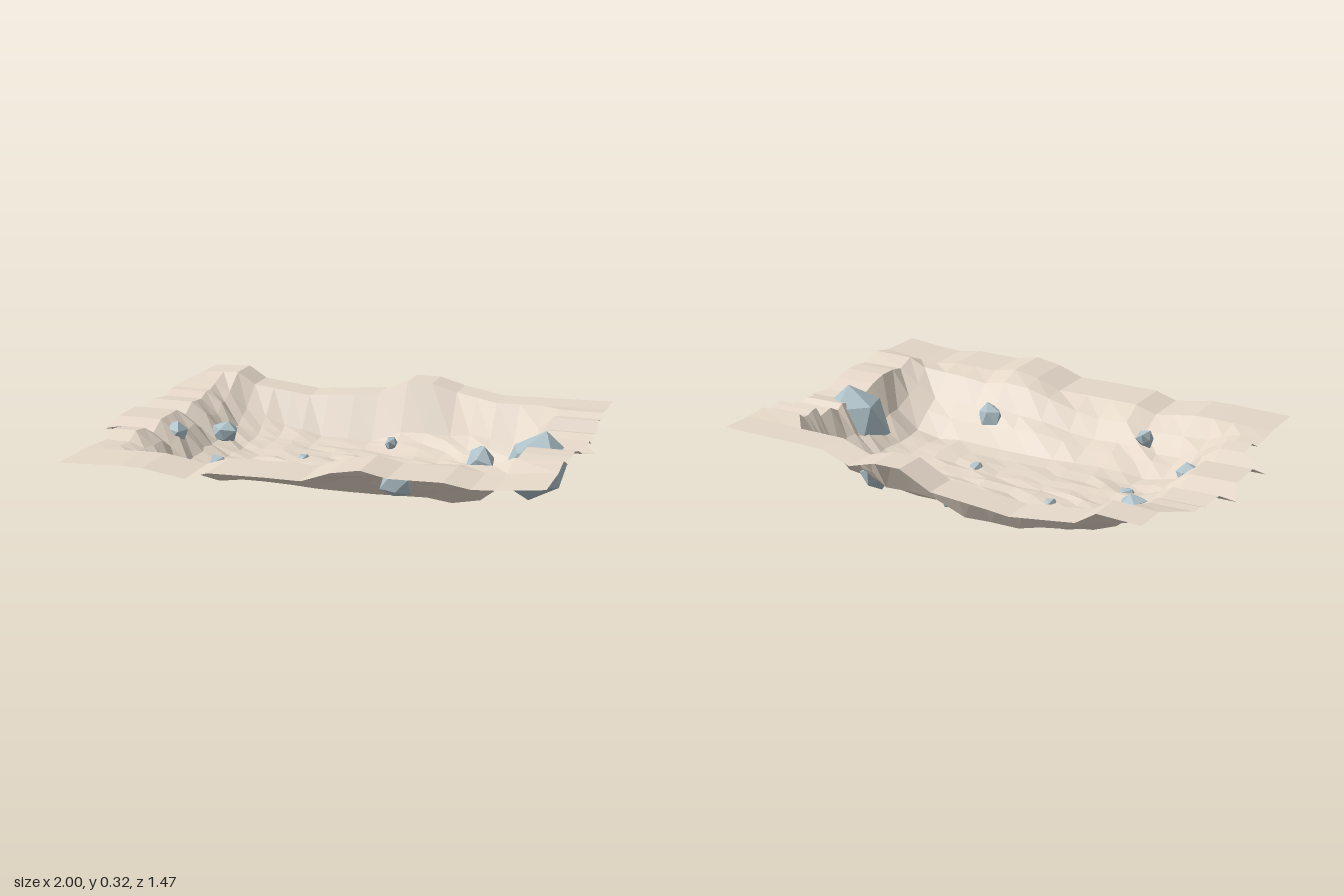
import * as THREE from 'three';

// piecewise-linear lookup through [position, value] pairs in rising order
function sample(pairs, p) {
  if (p <= pairs[0][0]) return pairs[0][1];
  for (let i = 1; i < pairs.length; i++) {
    const [p0, v0] = pairs[i - 1], [p1, v1] = pairs[i];
    if (p <= p1) return v0 + (v1 - v0) * (p - p0) / (p1 - p0);
  }
  return pairs[pairs.length - 1][1];
}

// repeatable value in -1..1
function hash(a, b, c = 0) {
  const s = Math.sin(a * 127.1 + b * 311.7 + c * 74.7) * 43758.5453;
  return (s - Math.floor(s)) * 2 - 1;
}

// grid lines of the ground sheet
const COLS = [-0.9, -0.78, -0.71, -0.63, -0.54, -0.45, -0.37, -0.28, -0.16, -0.05,
  0.08, 0.19, 0.3, 0.4, 0.5, 0.6, 0.7, 0.78, 0.96];
const ROWS = [0.73, 0.52, 0.43, 0.35, 0.29, 0.21, 0.13, 0.06, 0, -0.05, -0.1,
  -0.13, -0.18, -0.25, -0.3, -0.35, -0.4, -0.45, -0.5, -0.6, -0.74];

// outline of the left and right edges, x along z
const LEFT_EDGE = [[-0.6, -0.88], [-0.46, -0.95], [-0.27, -0.95], [-0.18, -1], [-0.1, -0.97],
  [0.06, -0.97], [0.13, -1], [0.21, -0.88]];
const RIGHT_EDGE = [[-0.05, 0.96], [0, 1], [0.06, 0.96]];

// rim heights: along z for the sides, along x for the front and back lips
const LEFT_RIM = [[-0.6, 0.29], [-0.5, 0.265], [-0.45, 0.25], [-0.4, 0.25], [-0.35, 0.23], [-0.25, 0.24],
  [-0.18, 0.2], [-0.1, 0.24], [0.06, 0.24], [0.13, 0.2], [0.21, 0.24], [0.29, 0.25], [0.35, 0.22], [0.52, 0.23]];
const RIGHT_RIM = [[-0.6, 0.29], [-0.5, 0.3], [-0.45, 0.28], [-0.4, 0.28], [-0.35, 0.29], [-0.3, 0.295],
  [-0.25, 0.25], [-0.18, 0.265], [-0.13, 0.24], [-0.1, 0.26], [0, 0.24], [0.06, 0.25], [0.13, 0.28],
  [0.21, 0.3], [0.29, 0.3], [0.35, 0.29], [0.43, 0.33], [0.52, 0.3]];
const FRONT_LIP = [[-0.88, 0.23], [-0.63, 0.24], [-0.54, 0.24], [-0.37, 0.215], [-0.28, 0.245],
  [-0.05, 0.25], [0.08, 0.25], [0.19, 0.29], [0.3, 0.31], [0.4, 0.29], [0.6, 0.295], [0.7, 0.28],
  [0.78, 0.285], [0.96, 0.305]];
const BACK_LIP = [[-0.88, 0.29], [-0.71, 0.3], [-0.63, 0.25], [-0.37, 0.22], [-0.28, 0.23],
  [-0.05, 0.25], [0.08, 0.315], [0.19, 0.315], [0.3, 0.285], [0.5, 0.28], [0.96, 0.29]];

// how far up the bank a point lies: 0 on the floor, 1 on the rim
const BANK_X = [[-0.78, 1], [-0.71, 0.7], [-0.63, 0.25], [-0.54, 0.03], [-0.45, 0], [0.5, 0],
  [0.6, 0.06], [0.7, 0.42], [0.78, 1]];
const BANK_Z = [[-0.6, 1], [-0.5, 0.04], [-0.45, 0], [0.21, 0],
  [0.29, 0.22], [0.35, 0.4], [0.43, 0.68], [0.52, 1]];
// lower tier along the foot of the back bank, by x
const BACK_TIER = [[-0.78, 0.35], [-0.4, 0.2], [-0.28, 0.03], [-0.05, 0.03], [0.15, 0.25], [0.78, 0.35]];

function groundHeight(x, z, i, j) {
  // the front bank starts a little nearer the middle on the left-hand side
  const nearer = sample([[0.2, 0], [0.4, 0.05]], z) * sample([[-0.1, 0], [0, 1]], x);
  const tier = sample(BACK_TIER, x) * sample([[-0.6, 0], [-0.5, 1], [-0.36, 0]], z);
  const a = sample(BANK_X, x), b = sample(BANK_Z, z + nearer) + tier;
  const side = sample(x < 0 ? LEFT_RIM : RIGHT_RIM, z);
  const lip = sample(z > 0 ? FRONT_LIP : BACK_LIP, x);
  const rim = THREE.MathUtils.lerp(side, lip, b ** (1 + 8 * a));
  const t = 1 - (1 - a) * (1 - b);
  const floor = 0.057 + 0.009 * hash(i, j);
  const rough = 0.06 * t * (1 - t) * hash(i, j, 5);
  return floor + (rim - floor) * t + rough;
}

function groundGeometry() {
  const pos = [], index = [], w = COLS.length;
  ROWS.forEach((z, i) => COLS.forEach((c, j) => {
    const x = j === 0 ? sample(LEFT_EDGE, z) : j === w - 1 ? sample(RIGHT_EDGE, z) : c;
    // the back lip steps forward on the left-hand side
    const shift = sample([[0.3, 0], [0.5, 0.11]], x) * sample([[-0.5, 1], [-0.25, 0]], z);
    const inner = x > -0.78 && x < 0.78 && z > -0.5 && z < 0.5;
    const jog = inner ? 0.01 * hash(i, j, 2) : 0;
    pos.push(x + jog, groundHeight(x, z, i, j), z + shift);
    if (i && j) {
      const d = i * w + j, e = d - w;
      index.push(e - 1, e, d - 1, e, d, d - 1);
    }
  }));
  const g = new THREE.BufferGeometry();
  g.setAttribute('position', new THREE.Float32BufferAttribute(pos, 3));
  g.setIndex(index);
  g.computeVertexNormals();
  return g;
}

// faceted boulder: an icosahedron with each corner pushed in or out
function rockGeometry(seed) {
  const g = new THREE.IcosahedronGeometry(1, 0), p = g.attributes.position;
  const v = new THREE.Vector3();
  for (let i = 0; i < p.count; i++) {
    v.fromBufferAttribute(p, i);
    const k = Math.round(v.x * 10), l = Math.round(v.y * 10), m = Math.round(v.z * 10);
    v.multiplyScalar(1.05 + 0.2 * hash(k + seed, l, m));
    p.setXYZ(i, v.x, v.y, v.z);
  }
  g.computeVertexNormals();
  return g;
}

// centre, half sizes, turn about y, lean about z
const ROCKS = [
  [[0.78, 0.168, 0.005], [0.135, 0.16, 0.13], 0.3, -0.7],
  [[0.485, 0.073, -0.285], [0.055, 0.075, 0.095], 0.1, 0.2],
  [[0.065, 0.085, -0.42], [0.027, 0.03, 0.045], 0, 0],
  [[-0.625, 0.12, -0.23], [0.062, 0.05, 0.054], 0.2, 0.3],
  [[-0.25, 0.042, -0.195], [0.033, 0.034, 0.028], 0.4, 0],
  [[-0.73, 0.18, 0.025], [0.052, 0.045, 0.054], -0.4, 0.3],
  [[-0.465, 0.045, 0.04], [0.046, 0.033, 0.03], 0, 0],
  [[0.19, 0.044, -0.01], [0.034, 0.038, 0.036], 0.5, 0],
  [[-0.395, 0.165, 0.36], [0.037, 0.037, 0.03], 0, 0],
  [[0.315, 0.15, 0.33], [0.067, 0.055, 0.04], -0.2, 0.4],
];

export function createModel() {
  const model = new THREE.Group();
  model.name = 'rockyBasin';

  const ground = new THREE.Mesh(groundGeometry(), new THREE.MeshStandardMaterial({
    color: 0xe4d7c8, flatShading: true, side: THREE.DoubleSide }));
  ground.name = 'ground';
  model.add(ground);

  // scattered boulders half sunk into the ground
  const rocks = new THREE.Group();
  rocks.name = 'rocks';
  const stone = new THREE.MeshStandardMaterial({ color: 0xaec1c8, flatShading: true });
  ROCKS.forEach(([centre, size, turn, lean], i) => {
    const rock = new THREE.Mesh(rockGeometry(i * 3 + 1), stone);
    rock.name = 'rock' + (i + 1);
    rock.position.set(...centre);
    rock.scale.set(...size);
    rock.rotation.set(0, turn, lean);
    rocks.add(rock);
  });
  model.add(rocks);
  return model;
}
